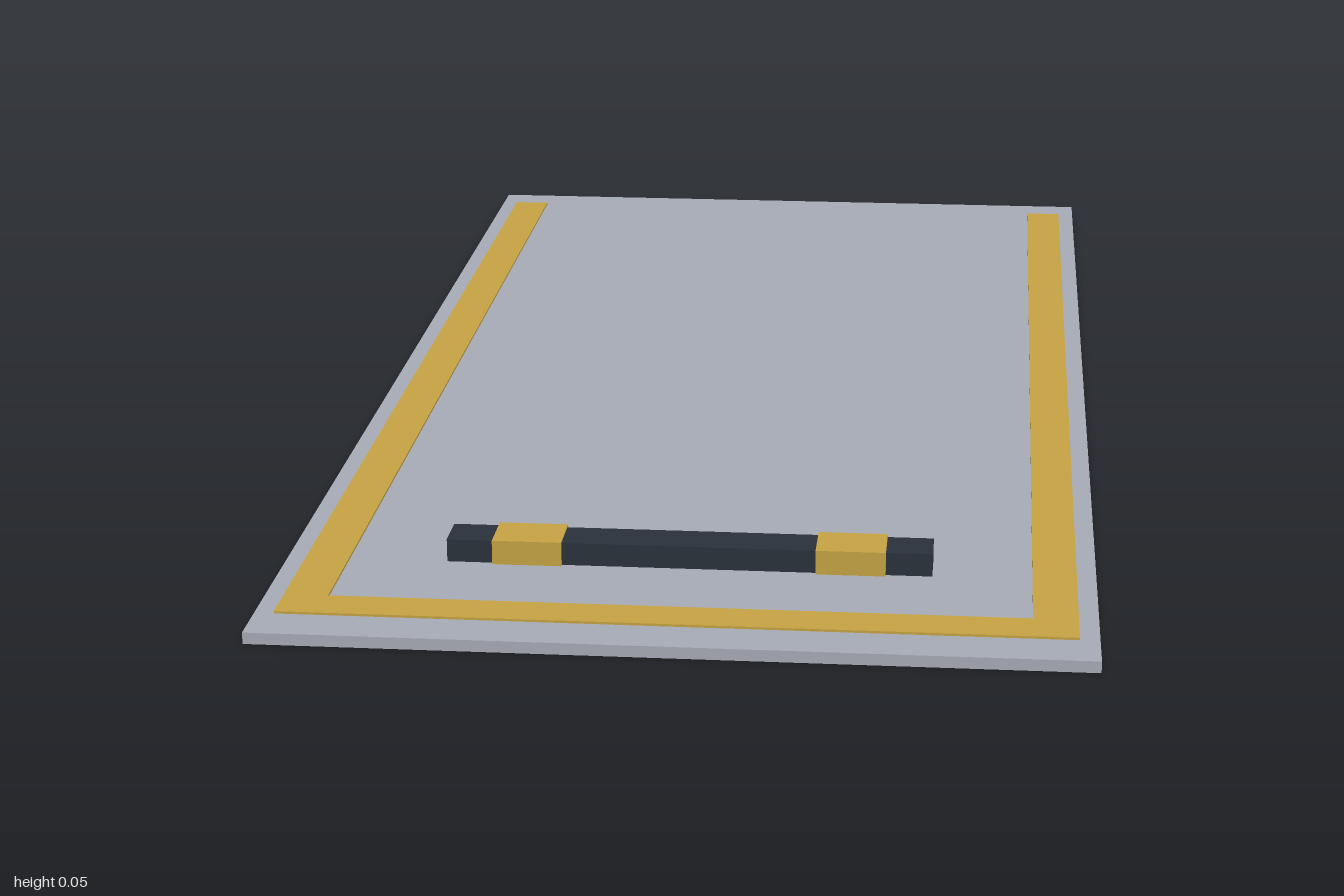
import * as THREE from 'three';

export function createModel() {
  const group = new THREE.Group();
  const paint = (name, color) => {
    const m = new THREE.MeshStandardMaterial({ color });
    m.name = name;
    return m;
  };
  const grey = paint('slab grey', 0xa9adb8);
  const gold = paint('gold', 0xc8a545);
  const dark = paint('dark slate', 0x2a323c);

  const slabTop = 0.0145;

  // Box spanning x0..x1, y0..y1, z0..z1
  const box = (name, mat, [x0, x1], [y0, y1], [z0, z1]) => {
    const mesh = new THREE.Mesh(new THREE.BoxGeometry(x1 - x0, y1 - y0, z1 - z0), mat);
    mesh.position.set((x0 + x1) / 2, (y0 + y1) / 2, (z0 + z1) / 2);
    mesh.name = name;
    group.add(mesh);
  };

  // Flat base panel
  box('slab', grey, [-0.5, 0.5], [0, slabTop], [-1, 1]);

  // U-shaped border strip, open at the back (shape y becomes -z)
  const outline = [
    [-0.476, 0.94], [-0.476, -0.94], [0.476, -0.94], [0.476, 0.94],
    [0.422, 0.94], [0.422, -0.886], [-0.422, -0.886], [-0.422, 0.94],
  ].map(([x, y]) => new THREE.Vector2(x, y));
  const borderGeometry = new THREE.ExtrudeGeometry(new THREE.Shape(outline), {
    depth: 0.003, bevelEnabled: false,
  });
  borderGeometry.rotateX(-Math.PI / 2);
  const border = new THREE.Mesh(borderGeometry, gold);
  border.position.y = slabTop;
  border.name = 'borderStrip';
  group.add(border);

  // Handle bar with two gold bands
  box('handleBar', dark, [-0.3, 0.3], [slabTop, 0.0435], [0.703, 0.757]);
  for (const [name, x] of [['leftBand', 0.2], ['rightBand', -0.2]]) {
    box(name, gold, [x - 0.043, x + 0.043], [slabTop, 0.0455], [0.698, 0.762]);
  }

  return group;
}
